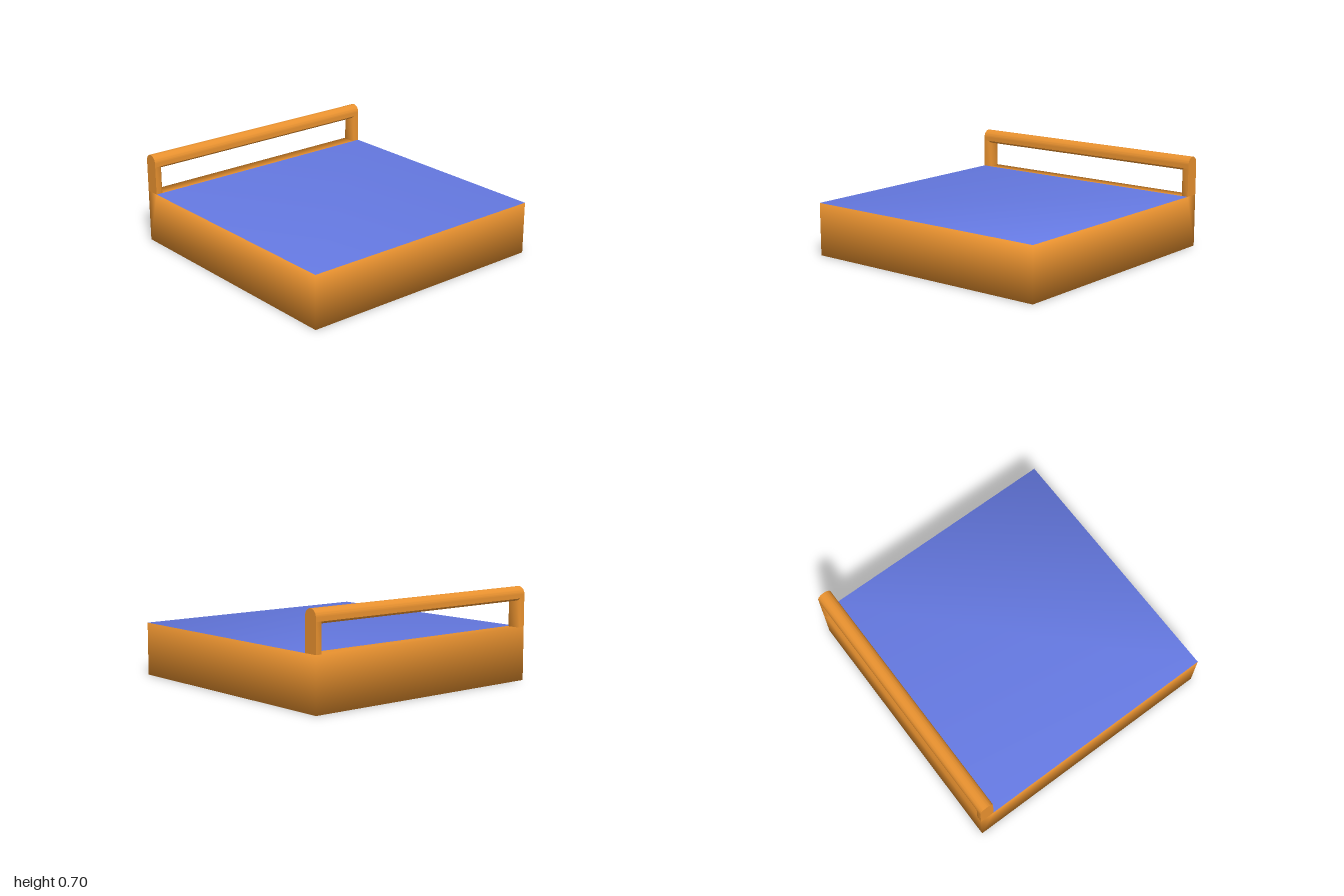
import * as THREE from 'three';
import { toCreasedNormals } from 'three/addons/utils/BufferGeometryUtils.js';

const orange = new THREE.MeshStandardMaterial({ color: 0xe8912f });
const blue = new THREE.MeshStandardMaterial({ color: 0x6478e0 });

const RAIL_Z = -0.945, R = 0.055, TOP = 0.4;

function addMesh(parent, name, geometry, material) {
  const mesh = new THREE.Mesh(geometry, material);
  mesh.name = name;
  parent.add(mesh);
  return mesh;
}

// Slab with softly shaded corners; its top is split into a panel and a rear ledge
function slabGeometries() {
  // side outline as [y, z]: front bottom, front top, panel end, back top, back bottom
  const outline = [[0, 1], [TOP, 1], [TOP, RAIL_Z + R], [TOP, -1], [0, -1]];
  const points = [];
  for (const x of [-1, 1]) for (const [y, z] of outline) points.push(x, y, z);

  const body = [], panel = [];
  for (let i = 0; i < 5; i++) {
    const j = (i + 1) % 5;
    (i === 1 ? panel : body).push(i, i + 5, j + 5, i, j + 5, j);
  }
  for (const [a, b, c] of [[1, 0, 4], [1, 4, 2], [2, 4, 3]]) {
    body.push(a + 5, b + 5, c + 5, a, c, b);
  }

  const whole = new THREE.BufferGeometry();
  whole.setAttribute('position', new THREE.Float32BufferAttribute(points, 3));
  whole.setIndex([...body, ...panel]);
  whole.computeVertexNormals();
  return [body, panel].map((index) => whole.clone().setIndex(index));
}

export function createModel() {
  const model = new THREE.Group();
  model.name = 'platform';

  const [body, panel] = slabGeometries();
  addMesh(model, 'baseSlab', body, orange);
  addMesh(model, 'topPanel', panel, blue);

  const rail = new THREE.Group();
  rail.name = 'backRail';
  model.add(rail);

  // Top bar: round above, small bevels below
  const section = new THREE.Shape();
  section.moveTo(-R + 0.015, 0.6);
  section.lineTo(R - 0.015, 0.6);
  section.lineTo(R, 0.615);
  section.absarc(0, 0.645, R, 0, Math.PI, false);
  section.lineTo(-R, 0.615);
  const bar = new THREE.ExtrudeGeometry(section, { depth: 2, bevelEnabled: false, curveSegments: 20 });
  bar.rotateY(Math.PI / 2).translate(-1, 0, RAIL_Z);
  addMesh(rail, 'topBar', toCreasedNormals(bar, 0.6), orange);

  // Posts with bevelled inner edges
  for (const s of [-1, 1]) {
    const outline = [[1, -R], [1, R], [0.955, R], [0.94, 0.04], [0.94, -0.04], [0.955, -R]];
    const shape = new THREE.Shape(outline.map(([x, d]) => new THREE.Vector2(s * x, d)));
    const post = new THREE.ExtrudeGeometry(shape, { depth: 0.215, bevelEnabled: false });
    post.rotateX(-Math.PI / 2).translate(0, TOP, RAIL_Z);
    addMesh(rail, s > 0 ? 'leftPost' : 'rightPost', toCreasedNormals(post, 0.9), orange);
  }

  return model;
}
